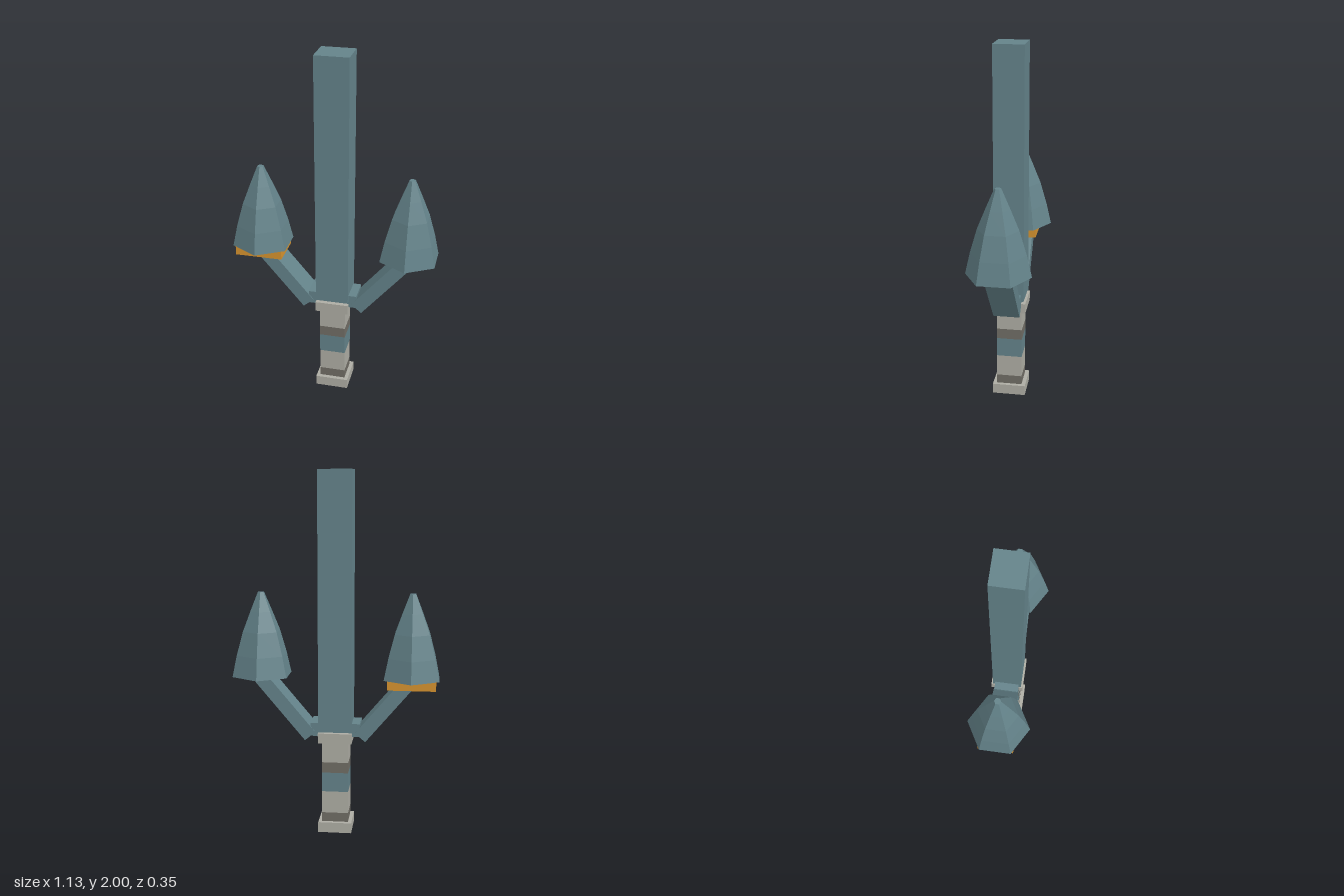
import * as THREE from 'three';

const mat = (name, color) => {
  const m = new THREE.MeshStandardMaterial({ color, flatShading: true });
  m.name = name;
  return m;
};

export function createModel() {
  const group = new THREE.Group();
  const steel = mat('blue grey steel', 0x64838a);
  const stone = mat('pale grey', 0xaeada4);
  const wrap = mat('dark grey wrap', 0x706d65);
  const brass = mat('orange brass', 0xd6932f);

  const add = (name, geometry, material) => {
    const mesh = new THREE.Mesh(geometry, material);
    mesh.name = name;
    group.add(mesh);
    return mesh;
  };
  // box given by width, depth and its bottom and top heights
  const block = (name, w, d, y0, y1, material, x = 0) => {
    const mesh = add(name, new THREE.BoxGeometry(w, y1 - y0, d), material);
    mesh.position.set(x, (y0 + y1) / 2, 0);
    return mesh;
  };

  // pommel, banded grip and collar
  block('pommel', 0.186, 0.186, 0, 0.058, stone);
  const bands = [
    [0.058, 0.11, wrap], [0.11, 0.235, stone], [0.235, 0.345, steel],
    [0.345, 0.405, wrap], [0.405, 0.52, stone],
  ];
  bands.forEach(([y0, y1, m], i) => block('gripBand' + (i + 1), 0.146, 0.142, y0, y1, m));
  block('collar', 0.186, 0.186, 0.52, 0.577, stone);

  // crossbar and tall central shaft
  block('crossbar', 0.274, 0.138, 0.556, 0.63, steel);
  block('centralShaft', 0.184, 0.166, 0.59, 2, steel);

  // six-sided side heads, slightly bulging towards a blunt tip
  const profile = [
    [0, 0.882], [0.173, 0.882], [0.146, 1.0], [0.108, 1.13], [0.063, 1.24], [0.018, 1.345], [0, 1.345],
  ].map(([r, y]) => new THREE.Vector2(r, y));
  const headGeometry = new THREE.LatheGeometry(profile, 6);

  // sloping arms, built from the lower outer corner along the arm
  const angle = THREE.MathUtils.degToRad(50);
  const length = 0.48, thickness = 0.075;
  for (const side of [1, -1]) {
    const label = side > 0 ? 'left' : 'right';
    const arm = add(label + 'Arm', new THREE.BoxGeometry(length, thickness, 0.146), steel);
    const cx = 0.167 + Math.cos(angle) * length / 2 - Math.sin(angle) * thickness / 2;
    const cy = 0.53 + Math.sin(angle) * length / 2 + Math.cos(angle) * thickness / 2;
    arm.position.set(side * cx, cy, 0);
    arm.rotation.z = side * angle;
    add(label + 'Head', headGeometry, steel).position.x = side * 0.415;
  }

  // socket under the right head only
  block('rightSocket', 0.264, 0.196, 0.832, 0.886, brass, -0.416);

  return group;
}
